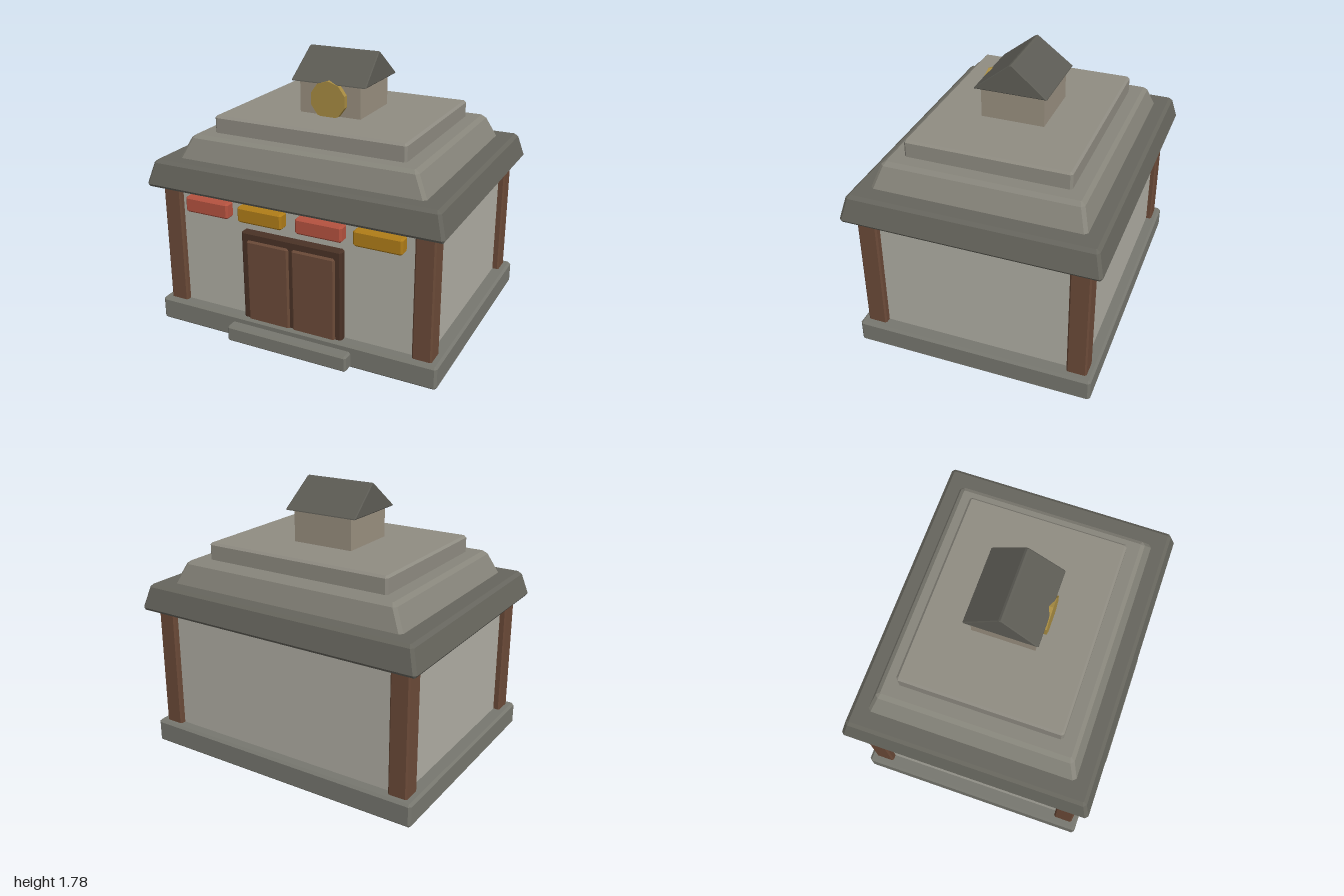
import * as THREE from 'three';

const COLORS = {
  stone: 0x77776f, wall: 0xb0aea4, eave: 0x66655d, tier: 0x87857b, cap: 0x8f8c82,
  wood: 0x6b4a38, darkWood: 0x4a3226, red: 0xb5523f, gold: 0xb07d18, bell: 0xa88c42,
  cupola: 0x9a9080, cupolaRoof: 0x5c5b54,
};
const materials = {};
for (const key in COLORS) {
  materials[key] = new THREE.MeshStandardMaterial({ color: COLORS[key], flatShading: true });
}

// Eight-point rectangle with cut corners, counter-clockwise seen from above
function ring(hx, hz, y, cut) {
  const c = Math.min(cut, hx * 0.5, hz * 0.5);
  return [
    [hx, hz - c], [hx, -hz + c], [hx - c, -hz], [-hx + c, -hz],
    [-hx, -hz + c], [-hx, hz - c], [-hx + c, hz], [hx - c, hz],
  ].map(([x, z]) => [x, y, z]);
}

// Tapered block with chamfered edges, lofted through four rings
function taperedGeometry(hx0, hz0, hx1, hz1, y0, y1, bevel) {
  const section = (t, inset) => {
    const hx = THREE.MathUtils.lerp(hx0, hx1, t) - inset;
    const hz = Math.max(THREE.MathUtils.lerp(hz0, hz1, t) - inset, 0.001);
    return ring(hx, hz, THREE.MathUtils.lerp(y0, y1, t), inset ? bevel * 0.25 : bevel);
  };
  const t = bevel / (y1 - y0);
  const rings = [section(0, bevel), section(t, 0), section(1 - t, 0), section(1, bevel)];
  const positions = [];
  const triangle = (...points) => points.forEach((p) => positions.push(...p));
  for (let r = 0; r < 3; r++) {
    for (let i = 0; i < 8; i++) {
      const j = (i + 1) % 8;
      const [lower, upper] = [rings[r], rings[r + 1]];
      triangle(lower[i], lower[j], upper[j]);
      triangle(lower[i], upper[j], upper[i]);
    }
  }
  for (let i = 1; i < 7; i++) {
    triangle(rings[3][0], rings[3][i], rings[3][i + 1]);
    triangle(rings[0][0], rings[0][i + 1], rings[0][i]);
  }
  const geometry = new THREE.BufferGeometry();
  geometry.setAttribute('position', new THREE.Float32BufferAttribute(positions, 3));
  geometry.computeVertexNormals();
  return geometry;
}

export function createModel() {
  const model = new THREE.Group();
  model.name = 'hall';
  const midZ = -0.015;

  function add(name, geometry, color, x = 0, y = 0, z = 0) {
    const mesh = new THREE.Mesh(geometry, materials[color]);
    mesh.name = name;
    mesh.position.set(x, y, z);
    model.add(mesh);
    return mesh;
  }
  // Straight block given by its extents
  function block(name, color, [x0, x1], [y0, y1], [z0, z1], bevel = 0.012) {
    const hx = (x1 - x0) / 2;
    const hz = (z1 - z0) / 2;
    return add(name, taperedGeometry(hx, hz, hx, hz, y0, y1, bevel), color, (x0 + x1) / 2, 0, (z0 + z1) / 2);
  }

  // Foundation, entrance step and walls
  block('foundation', 'stone', [-0.97, 0.97], [0, 0.155], [-0.79, 0.76], 0.015);
  block('entranceStep', 'stone', [-0.42, 0.42], [0.005, 0.112], [0.66, 0.83]);
  add('walls', new THREE.BoxGeometry(1.76, 0.85, 1.4), 'wall', 0, 0.57, midZ);

  // Corner posts
  for (const side of [-1, 1]) {
    for (const end of [-1, 1]) {
      const x = side * 0.86;
      const z = midZ + end * 0.672;
      block('cornerPost', 'wood', [x - 0.063, x + 0.063], [0.14, 0.98], [z - 0.064, z + 0.064], 0.01);
    }
  }

  // Double door in its frame
  block('doorFrame', 'darkWood', [-0.345, 0.345], [0.14, 0.75], [0.66, 0.733]);
  block('rightDoor', 'wood', [-0.305, -0.01], [0.14, 0.698], [0.68, 0.745]);
  block('leftDoor', 'wood', [0.01, 0.305], [0.14, 0.698], [0.68, 0.745]);

  // Row of panels above the door, in alternating colours
  [-0.583, -0.203, 0.199, 0.58].forEach((x, i) => {
    block('signPanel', i % 2 ? 'gold' : 'red', [x - 0.155, x + 0.155], [0.812, 0.915], [0.67, 0.75]);
  });

  // Stepped roof
  add('eaves', taperedGeometry(1, 0.817, 0.95, 0.775, 0.957, 1.13, 0.018), 'eave', 0, 0, midZ);
  add('upperRoof', taperedGeometry(0.84, 0.68, 0.755, 0.625, 1.11, 1.28, 0.02), 'tier', 0, 0, midZ);
  block('roofCap', 'cap', [-0.65, 0.65], [1.26, 1.39], [-0.54, 0.512], 0.014);

  // Cupola with a gabled roof and a ten-sided disc on its front
  add('cupola', new THREE.BoxGeometry(0.42, 0.24, 0.41), 'cupola', 0, 1.5, midZ);
  add('cupolaRoof', taperedGeometry(0.257, 0.24, 0.242, 0.006, 1.595, 1.78, 0.006), 'cupolaRoof', 0, 0, midZ);
  const disc = add('frontDisc', new THREE.CylinderGeometry(0.122, 0.122, 0.06, 10), 'bell', 0, 1.495, 0.195);
  disc.rotation.x = Math.PI / 2;

  return model;
}
